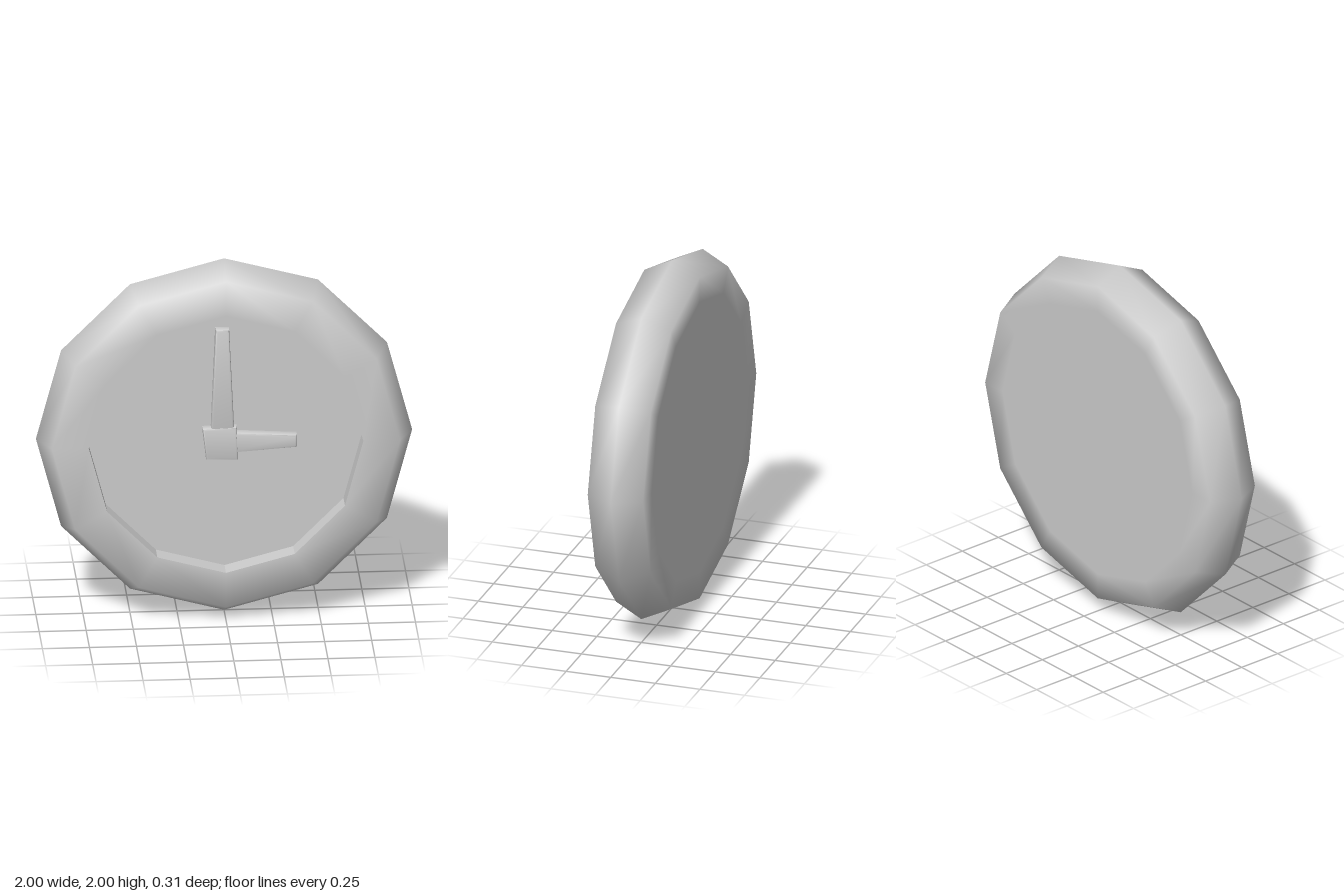
import * as THREE from 'three';
import { toCreasedNormals } from 'three/addons/utils/BufferGeometryUtils.js';

const SIDES = 12;
const HALF_DEPTH = 0.155;
const FACE_RADIUS = 0.73;
const FACE_Z = 0.04;

export function createModel() {
  const clock = new THREE.Group();
  clock.name = 'wallClock';
  const grey = new THREE.MeshStandardMaterial({ color: 0xcccccc });
  grey.name = 'plainGrey';

  const add = (name, geometry) => {
    const mesh = new THREE.Mesh(geometry, grey);
    mesh.name = name;
    mesh.position.y = 1;
    clock.add(mesh);
    return mesh;
  };

  // Ring of twelve sides turned around z from [radius, z] points
  const turned = (points) => new THREE.LatheGeometry(
    points.map(([r, z]) => new THREE.Vector2(r, z)), SIDES).rotateX(Math.PI / 2);

  // Case: flat back, pointed rim and flat front border, shaded smoothly
  add('case', turned([
    [0, -HALF_DEPTH], [0.78, -HALF_DEPTH], [0.925, -HALF_DEPTH],
    [1, 0], [0.925, HALF_DEPTH], [FACE_RADIUS, HALF_DEPTH],
  ]));

  // Faceted wall of the recess
  const wall = turned([[FACE_RADIUS, HALF_DEPTH], [FACE_RADIUS, FACE_Z]]).toNonIndexed();
  wall.computeVertexNormals();
  add('recessWall', wall);

  // Sunken dial
  const dial = add('dial', new THREE.CircleGeometry(FACE_RADIUS, SIDES));
  dial.position.z = FACE_Z;

  // Soft-edged plate from four corners, inset so the bevel reaches the outline
  const plate = (name, corners, top) => {
    const bevel = 0.012;
    const shape = new THREE.Shape(corners.map(([x, y]) => new THREE.Vector2(x, y)));
    const geometry = new THREE.ExtrudeGeometry(shape, {
      depth: top - FACE_Z - bevel, bevelEnabled: true, bevelThickness: bevel,
      bevelSize: bevel, bevelOffset: -bevel, bevelSegments: 2,
    });
    const mesh = add(name, toCreasedNormals(geometry, 0.7));
    mesh.position.z = FACE_Z;
  };

  // Tapered hands and the skewed hub that joins them
  plate('minuteHand', [[-0.075, 0.03], [0.05, 0.03], [0.022, 0.625], [-0.05, 0.625]], 0.09);
  plate('hourHand', [[0.02, -0.078], [0.382, -0.052], [0.382, 0.018], [0.02, 0.04]], 0.09);
  plate('hub', [[-0.1, -0.11], [0.07, -0.115], [0.062, 0.072], [-0.12, 0.065]], 0.095);

  return clock;
}
